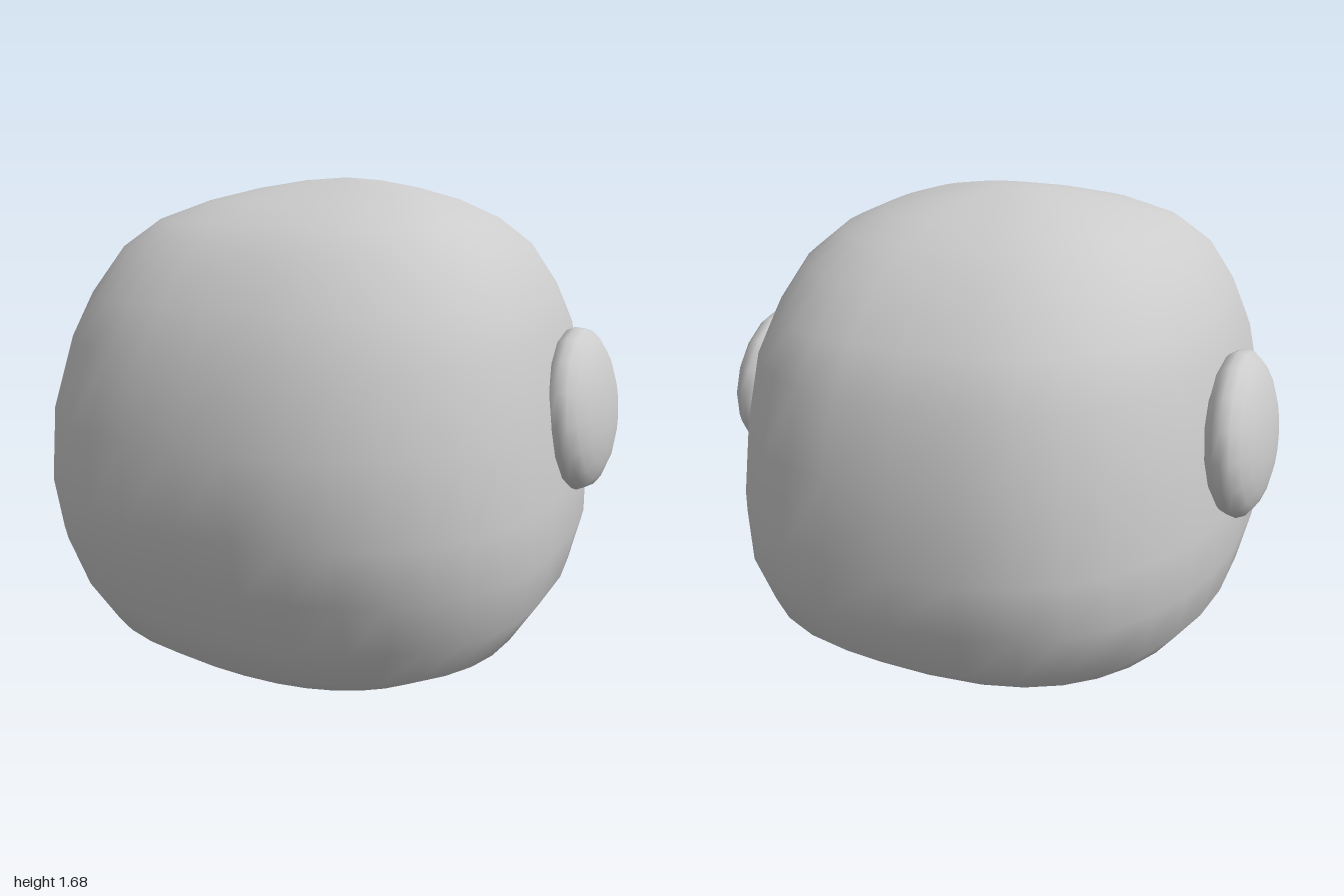
import * as THREE from 'three';
import { mergeVertices } from 'three/addons/utils/BufferGeometryUtils.js';

const material = new THREE.MeshStandardMaterial({ color: 0xcccccc });

// Head cross-sections from chin to crown: height, half width, front z, back z
const SECTIONS = [
  [0, 0, 0.2, 0.2],
  [0.02, 0.2, 0.36, -0.05],
  [0.045, 0.35, 0.49, -0.25],
  [0.1, 0.56, 0.65, -0.48],
  [0.2, 0.74, 0.79, -0.73],
  [0.34, 0.83, 0.88, -0.9],
  [0.52, 0.872, 0.955, -0.98],
  [0.7, 0.872, 1.0, -1.0],
  [0.95, 0.845, 0.988, -0.97],
  [1.18, 0.8, 0.905, -0.91],
  [1.32, 0.745, 0.825, -0.82],
  [1.46, 0.66, 0.71, -0.69],
  [1.55, 0.55, 0.58, -0.55],
  [1.61, 0.41, 0.41, -0.42],
  [1.65, 0.27, 0.22, -0.27],
  [1.675, 0.13, 0.07, -0.15],
  [1.685, 0, -0.05, -0.05],
];

const signedPow = (v, p) => Math.sign(v) * Math.pow(Math.abs(v), p);

// Stack of egg-shaped superellipses, widest a little ahead of the middle
function headGeometry(sides = 36) {
  const positions = [];
  const index = [];
  SECTIONS.forEach(([y, w, front, back], row) => {
    const half = (front - back) / 2;
    const zc = (front + back) / 2 + 0.2 * half;
    for (let i = 0; i < sides; i++) {
      const a = (i / sides) * Math.PI * 2;
      const s = Math.sin(a);
      const p = 2 / (s > 0 ? 2.3 : 2.5);
      const depth = s > 0 ? front - zc : zc - back;
      positions.push(w * signedPow(Math.cos(a), p), y, zc + depth * signedPow(s, p));
      if (row === SECTIONS.length - 1) continue;
      const j = (i + 1) % sides;
      const lo = row * sides;
      const hi = lo + sides;
      if (row < SECTIONS.length - 2) index.push(lo + j, hi + i, hi + j);
      if (row > 0) index.push(lo + i, hi + i, lo + j);
      else index.push(lo + i, hi + i, hi + j);
      if (row === 0) index.splice(-6, 3);
    }
  });
  const geometry = new THREE.BufferGeometry();
  geometry.setAttribute('position', new THREE.Float32BufferAttribute(positions, 3));
  geometry.setIndex(index);
  const merged = mergeVertices(geometry);
  merged.computeVertexNormals();
  return merged;
}

export function createModel() {
  const group = new THREE.Group();

  const head = new THREE.Mesh(headGeometry(), material);
  head.name = 'head';
  group.add(head);

  // Flattened round ears, leaning in at the top and out at the front
  const earGeometry = new THREE.SphereGeometry(1, 16, 12).rotateZ(Math.PI / 2);
  for (const side of [1, -1]) {
    const ear = new THREE.Mesh(earGeometry, material);
    ear.name = side > 0 ? 'leftEar' : 'rightEar';
    ear.scale.set(0.11, 0.272, 0.302);
    ear.rotation.set(0, side * 0.05, side * 0.11);
    ear.position.set(side * 0.85, 0.94, -0.12);
    group.add(ear);
  }
  return group;
}
